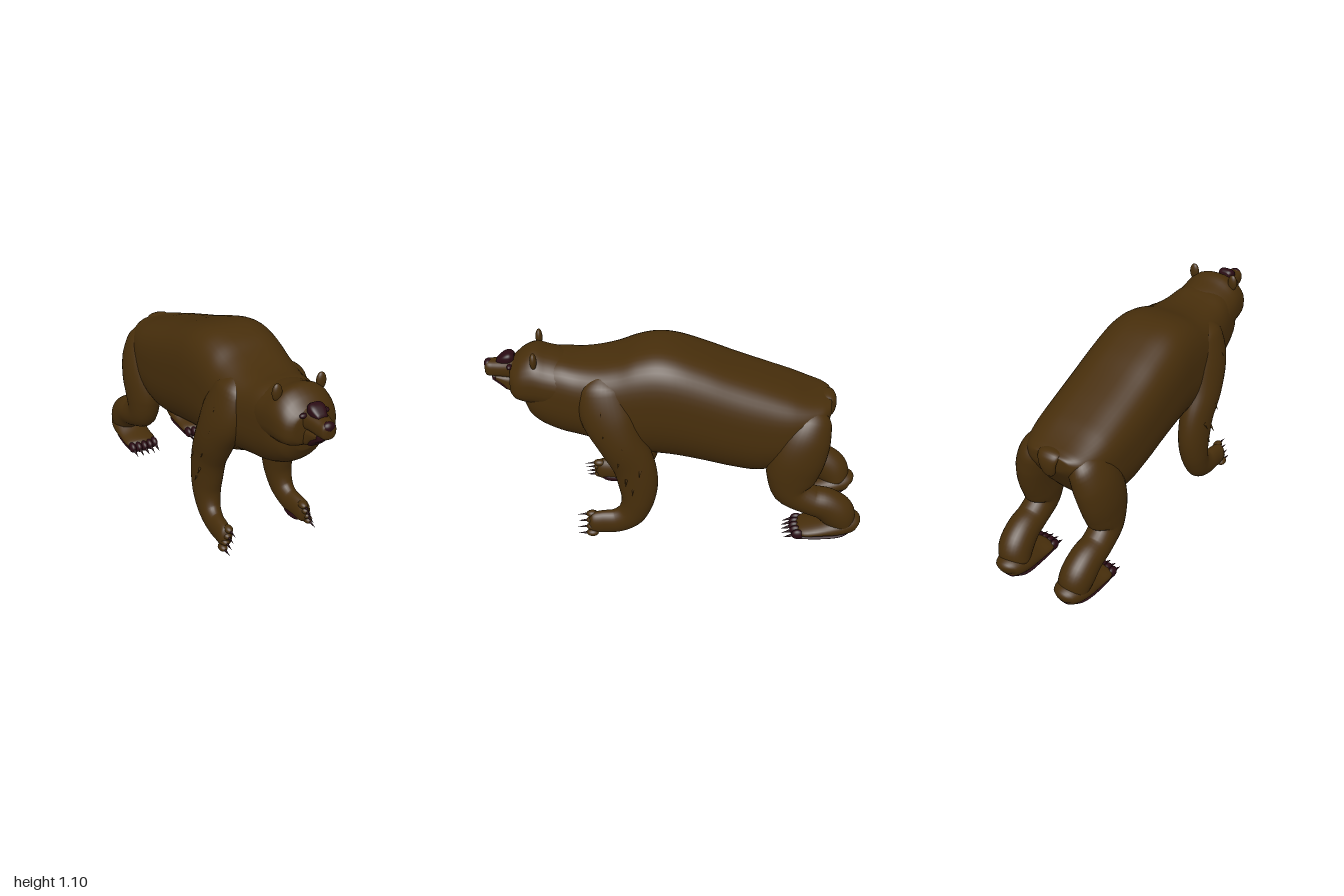
import * as THREE from 'three';

const fur = new THREE.MeshStandardMaterial({ color: 0x472e0b });
fur.name = 'brown fur';
const skin = new THREE.MeshStandardMaterial({ color: 0x2a0b13 });
skin.name = 'dark maroon skin';

const X = new THREE.Vector3(1, 0, 0);

// Smooth skin over sections [x, y, z, halfWidth, halfDepth]; upright keeps the rings vertical.
function loft(sections, { power = 2, lowerPower = power, upright = false, taper = 0, sides = 32 } = {}) {
  const path = new THREE.CatmullRomCurve3(sections.map(s => new THREE.Vector3(s[0], s[1], s[2])));
  const size = new THREE.CatmullRomCurve3(sections.map(s => new THREE.Vector3(s[3], s[4], s[2])));
  const n = (sections.length - 1) * 5;
  const pos = [], index = [];
  for (let i = 0; i <= n; i++) {
    const t = i / n, c = path.getPoint(t), r = size.getPoint(t);
    const dir = upright ? new THREE.Vector3(0, 0, 1) : path.getTangent(t);
    const side = X.clone().addScaledVector(dir, -dir.x).normalize();
    const up = dir.clone().cross(side);
    for (let j = 0; j < sides; j++) {
      const a = j / sides * Math.PI * 2, ca = Math.cos(a), sa = Math.sin(a);
      const e = 2 / (sa > 0 ? power : lowerPower);
      const u = Math.sign(ca) * Math.abs(ca) ** e * (1 - taper * sa);
      const v = Math.sign(sa) * Math.abs(sa) ** e;
      const p = c.clone().addScaledVector(side, u * r.x).addScaledVector(up, v * r.y);
      pos.push(p.x, p.y, p.z);
      if (i < n) {
        const k = i * sides + j, l = i * sides + (j + 1) % sides;
        index.push(k, l, l + sides, k, l + sides, k + sides);
      }
    }
  }
  // end caps
  const first = pos.length / 3, a = sections[0], b = sections.at(-1);
  pos.push(a[0], a[1], a[2], b[0], b[1], b[2]);
  for (let j = 0; j < sides; j++) {
    const m = (j + 1) % sides;
    index.push(first, m, j, first + 1, n * sides + j, n * sides + m);
  }
  const g = new THREE.BufferGeometry();
  g.setAttribute('position', new THREE.Float32BufferAttribute(pos, 3));
  g.setIndex(index);
  g.computeVertexNormals();
  return g;
}

// Upright section from z, top, bottom and half width
const slice = ([z, top, bottom, w]) => [0, (top + bottom) / 2, z, w, (top - bottom) / 2];

function add(parent, name, geometry, material) {
  const m = new THREE.Mesh(geometry, material);
  m.name = name;
  parent.add(m);
  return m;
}

function blob(parent, name, material, center, radii) {
  const g = new THREE.SphereGeometry(1, 20, 14).scale(...radii).translate(...center);
  return add(parent, name, g, material);
}

// Cone from a base point to a tip
function spike(parent, name, material, base, tip, radius) {
  const a = new THREE.Vector3(...base), d = new THREE.Vector3(...tip).sub(a);
  const m = add(parent, name, new THREE.ConeGeometry(radius, d.length(), 8), material);
  m.position.copy(a).addScaledVector(d, 0.5);
  m.quaternion.setFromUnitVectors(new THREE.Vector3(0, 1, 0), d.normalize());
}

function frontLeg(s) {
  const g = new THREE.Group();
  g.name = s > 0 ? 'leftFrontLeg' : 'rightFrontLeg';
  const side = list => list.map(p => [p[0] * s, ...p.slice(1)]);
  add(g, 'arm', loft(side([
    [0.14, 0.97, 0.37, 0.03, 0.05], [0.16, 0.91, 0.37, 0.075, 0.12], [0.19, 0.78, 0.35, 0.09, 0.145],
    [0.208, 0.62, 0.288, 0.096, 0.125], [0.213, 0.47, 0.22, 0.083, 0.115], [0.215, 0.34, 0.197, 0.079, 0.106],
    [0.22, 0.23, 0.202, 0.071, 0.088], [0.225, 0.14, 0.24, 0.058, 0.078], [0.23, 0.095, 0.31, 0.048, 0.072],
    [0.235, 0.088, 0.39, 0.043, 0.07], [0.24, 0.085, 0.45, 0.036, 0.06], [0.24, 0.085, 0.47, 0.012, 0.025],
  ])), fur);
  blob(g, 'pawPad', skin, [s * 0.224, 0.042, 0.36], [0.034, 0.03, 0.08]);
  // toes stacked on the tilted paw, each with a claw
  for (let i = 0; i < 4; i++) {
    const x = s * (0.228 + i * 0.011), y = 0.135 - i * 0.035;
    blob(g, 'toe', fur, [x, y, 0.45], [0.023, 0.02, 0.033]);
    spike(g, 'claw', skin, [x, y, 0.47], [x, y - 0.008, 0.532], 0.008);
  }
  // shaggy tufts on the outside
  for (let i = 0; i < 9; i++) {
    const y = 0.36 + i * 0.06, z = 0.22 + Math.max(0, y - 0.45) * 0.35 + 0.05 * Math.sin(i * 2.4);
    const x = s * (0.285 - Math.max(0, y - 0.65) * 0.15);
    spike(g, 'furTuft', fur, [x, y, z], [x + s * 0.02, y - 0.035, z + 0.005], 0.008);
  }
  return g;
}

function hindLeg(s) {
  const g = new THREE.Group();
  g.name = s > 0 ? 'leftHindLeg' : 'rightHindLeg';
  const side = list => list.map(p => [p[0] * s, ...p.slice(1)]);
  add(g, 'thighAndShin', loft(side([
    [0.11, 0.785, -0.715, 0.03, 0.05], [0.142, 0.72, -0.705, 0.082, 0.11], [0.172, 0.63, -0.677, 0.1, 0.14],
    [0.19, 0.52, -0.645, 0.1, 0.15], [0.195, 0.41, -0.622, 0.092, 0.14], [0.2, 0.31, -0.628, 0.08, 0.108],
    [0.203, 0.245, -0.72, 0.08, 0.084], [0.2, 0.212, -0.81, 0.085, 0.092], [0.195, 0.15, -0.88, 0.088, 0.095],
    [0.185, 0.085, -0.91, 0.083, 0.072],
  ])), fur);
  add(g, 'foot', loft(side([
    [0.18, 0.075, -1.0, 0.025, 0.02], [0.182, 0.084, -0.98, 0.065, 0.05], [0.185, 0.077, -0.9, 0.092, 0.062],
    [0.187, 0.053, -0.78, 0.092, 0.04], [0.187, 0.044, -0.69, 0.087, 0.03], [0.187, 0.038, -0.665, 0.05, 0.02],
  ])), fur);
  add(g, 'sole', loft(side([
    [0.18, 0.037, -0.97, 0.03, 0.01], [0.182, 0.022, -0.91, 0.068, 0.013],
    [0.187, 0.017, -0.78, 0.082, 0.013], [0.187, 0.017, -0.66, 0.08, 0.013],
  ]), { power: 2.6 }), skin);
  for (let i = 0; i < 5; i++) {
    const x = s * (0.117 + i * 0.035), z = -0.668 + 0.012 * Math.sin(i * Math.PI / 4);
    blob(g, 'toe', skin, [x, 0.038, z], [0.02, 0.03, 0.034]);
    spike(g, 'claw', skin, [x, 0.035, z + 0.02], [x, 0.015, z + 0.078], 0.011);
  }
  return g;
}

export function createModel() {
  const bear = new THREE.Group();
  bear.name = 'bear';

  // Torso from rump to neck, with square shoulders and a rounder belly
  add(bear, 'torso', loft([
    [-0.815, 0.78, 0.73, 0.06], [-0.81, 0.795, 0.7, 0.11], [-0.77, 0.808, 0.63, 0.17], [-0.7, 0.83, 0.52, 0.215],
    [-0.6, 0.87, 0.41, 0.245], [-0.45, 0.925, 0.357, 0.258], [-0.3, 0.98, 0.375, 0.262], [-0.15, 1.04, 0.41, 0.262],
    [0, 1.09, 0.44, 0.26], [0.1, 1.1, 0.45, 0.255], [0.2, 1.08, 0.455, 0.25], [0.3, 1.04, 0.48, 0.242],
    [0.4, 1.015, 0.53, 0.228], [0.5, 1.01, 0.555, 0.205], [0.6, 1.02, 0.575, 0.185], [0.7, 1.0, 0.62, 0.162],
    [0.76, 0.95, 0.67, 0.13], [0.8, 0.88, 0.74, 0.06],
  ].map(slice), { power: 3, lowerPower: 2.2, upright: true, sides: 48 }), fur);
  add(bear, 'tail', loft([
    [0, 0.785, -0.76, 0.065, 0.02], [0, 0.785, -0.81, 0.06, 0.024], [0, 0.75, -0.825, 0.052, 0.02],
    [0, 0.69, -0.815, 0.038, 0.02], [0, 0.655, -0.8, 0.01, 0.008],
  ]), fur);

  // Head
  const head = new THREE.Group();
  head.name = 'head';
  bear.add(head);
  add(head, 'skull', loft([
    [0.5, 0.95, 0.85, 0.1], [0.57, 1.015, 0.77, 0.172], [0.66, 1.04, 0.765, 0.175], [0.73, 1.06, 0.77, 0.17],
    [0.79, 1.035, 0.778, 0.16], [0.83, 1.0, 0.79, 0.142], [0.855, 0.975, 0.81, 0.108], [0.865, 0.93, 0.85, 0.03],
  ].map(slice), { power: 2.2, lowerPower: 2.8, upright: true, taper: 0.08 }), fur);
  add(head, 'muzzle', loft([
    [0.8, 1.0, 0.87, 0.08], [0.88, 0.985, 0.885, 0.058], [0.95, 0.975, 0.886, 0.046],
    [0.985, 0.97, 0.888, 0.038], [0.995, 0.95, 0.9, 0.02],
  ].map(slice), { power: 2.6, upright: true }), fur);
  add(head, 'lowerJaw', loft([
    [0.8, 0.9, 0.79, 0.072], [0.87, 0.9, 0.803, 0.056], [0.9, 0.9, 0.838, 0.052], [0.94, 0.9, 0.873, 0.044],
  ].map(slice), { power: 3, upright: true }), fur);
  add(head, 'openMouth', loft([
    [0.82, 0.9, 0.82, 0.045], [0.88, 0.9, 0.806, 0.047], [0.912, 0.9, 0.834, 0.046], [0.957, 0.9, 0.87, 0.038],
  ].map(slice), { power: 4, upright: true }), skin);
  blob(head, 'nose', skin, [0, 0.953, 0.977], [0.032, 0.025, 0.023]);
  add(head, 'noseBridge', loft([
    [0.84, 1.015, 0.96, 0.03], [0.86, 1.025, 0.96, 0.042], [0.89, 1.018, 0.96, 0.042], [0.93, 0.985, 0.96, 0.025],
  ].map(slice), { power: 3, upright: true }), skin);

  for (const s of [1, -1]) {
    blob(head, 'eye', skin, [s * 0.06, 0.967, 0.858], [0.021, 0.013, 0.014]);
    blob(head, 'ear', fur, [s * 0.122, 1.042, 0.722], [0.027, 0.046, 0.018]);
    bear.add(frontLeg(s), hindLeg(s));
  }
  return bear;
}
